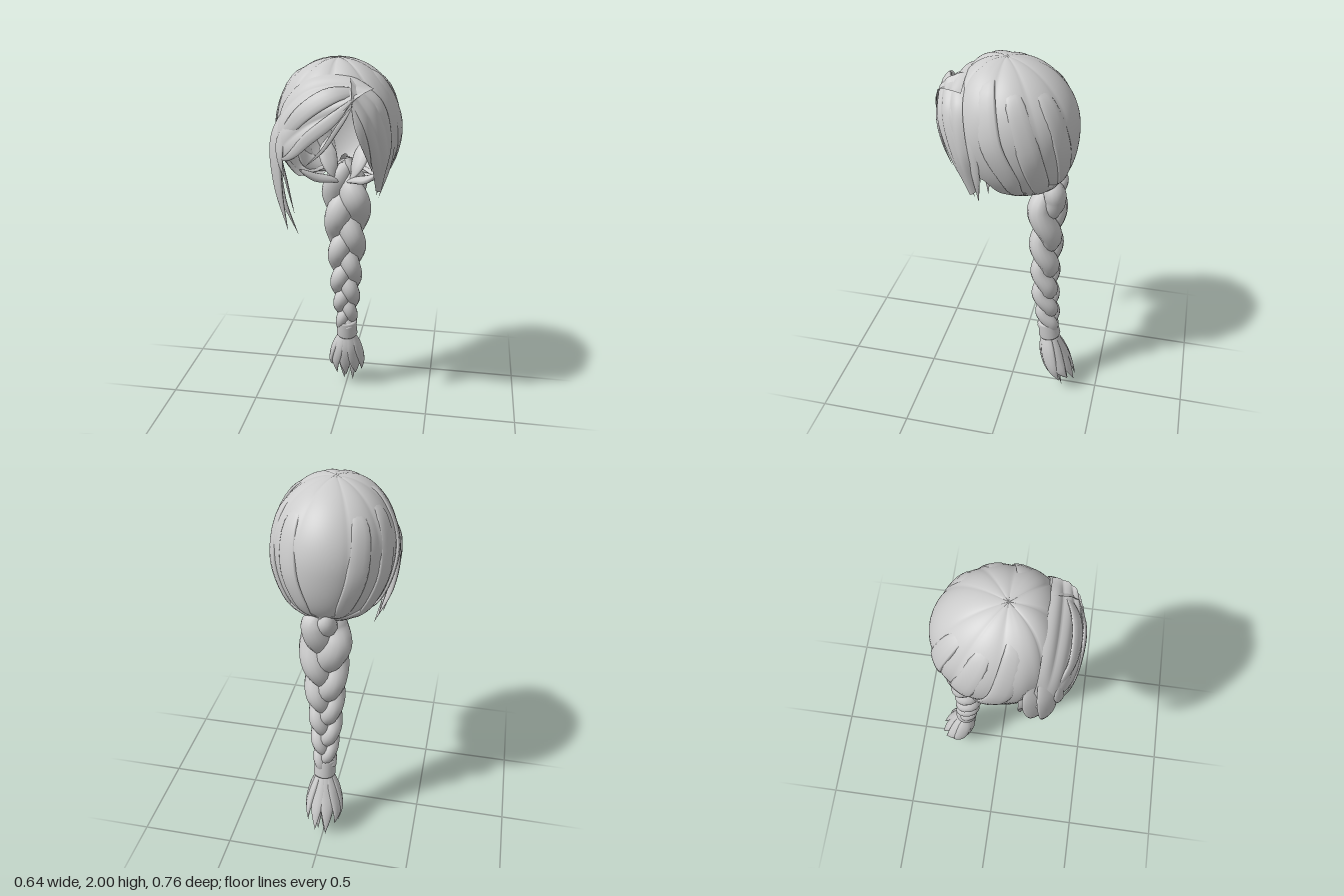
import * as THREE from 'three';

const V = (x, y, z) => new THREE.Vector3(x, y, z);
const HEAD = V(0, 1.66, 0);
const mat = new THREE.MeshStandardMaterial({ color: 0xcccccc, side: THREE.DoubleSide });
const curve = pts => new THREE.CatmullRomCurve3(pts.map(p => V(...p)));
const lerp = THREE.MathUtils.lerp;

// smoothed lookup, table = [[key, value], ...] ascending
function lookup(table, k) {
  if (k <= table[0][0]) return table[0][1];
  for (let i = 1; i < table.length; i++) {
    const [k0, v0] = table[i - 1], [k1, v1] = table[i];
    if (k <= k1) return lerp(v0, v1, THREE.MathUtils.smoothstep(k, k0, k1));
  }
  return table[table.length - 1][1];
}

// smooth grid mesh; wrap closes the second direction
function gridMesh(name, nu, nv, wrap, fn) {
  const pos = [], idx = [], row = wrap ? nv : nv + 1;
  for (let i = 0; i <= nu; i++)
    for (let j = 0; j < row; j++) pos.push(...fn(i / nu, j / nv).toArray());
  for (let i = 0; i < nu; i++)
    for (let j = 0; j < nv; j++) {
      const a = i * row + j, c = i * row + (j + 1) % row, b = a + row, d = c + row;
      idx.push(a, b, c, b, d, c);
    }
  const g = new THREE.BufferGeometry();
  g.setAttribute('position', new THREE.Float32BufferAttribute(pos, 3));
  g.setIndex(idx);
  g.computeVertexNormals();
  const m = new THREE.Mesh(g, mat);
  m.name = name;
  return m;
}

// elliptical sweep: width lies along the head surface, height points outward
function sweep(name, path, width, height, outward, nu = 24, nv = 10) {
  return gridMesh(name, nu, nv, true, (t, s) => {
    const p = path.getPoint(t), T = path.getTangent(t);
    const N = outward ? outward.clone() : p.clone().sub(HEAD);
    N.addScaledVector(T, -N.dot(T)).normalize();
    const B = T.clone().cross(N), a = s * Math.PI * 2;
    return p.addScaledVector(B, width(t) * Math.cos(a)).addScaledVector(N, height(t) * Math.sin(a));
  });
}

// pointed lock of hair, widest a third of the way along
function lock(name, pts, w, h = w * 0.3, root = 0.05, outward) {
  const shape = t => t < 0.35 ? lerp(root, 1, Math.sin(t / 0.35 * Math.PI / 2))
    : Math.max(0.01, Math.cos((t - 0.35) / 0.65 * Math.PI / 2));
  return sweep(name, curve(pts), t => w * shape(t), t => h * shape(t), outward);
}

// curved sheet between two edges, with combed grooves along its length
function sheet(name, edgeA, edgeB, bulge, strands) {
  const A = curve(edgeA), B = curve(edgeB);
  return gridMesh(name, 36, 40, false, (t, s) => {
    const p = A.getPoint(t).lerp(B.getPoint(t), s);
    const groove = Math.abs(Math.sin(s * strands * Math.PI)) * 0.01;
    const d = bulge * Math.sin(s * Math.PI) + groove * Math.sin(Math.PI * Math.min(1, t + 0.15));
    return p.addScaledVector(p.clone().sub(HEAD).normalize(), d);
  });
}

// point on the skull cap: strand angle from the front, v from crown to hem;
// strands bend back towards the nape as they descend
const hem = [[0, 1.87], [35, 1.8], [55, 1.66], [72, 1.48], [90, 1.38], [125, 1.34], [180, 1.38]];
function capPoint(a, v, lift = 0) {
  const az = a + 0.65 * v ** 3 * Math.sin(a), sx = Math.sin(az), cz = Math.cos(az);
  const deg = Math.abs(THREE.MathUtils.radToDeg(Math.atan2(sx, cz)));
  const low = Math.asin((lookup(hem, deg) - 1.66) / 0.34);
  const e = lerp(Math.PI / 2, low, v), k = 1 + lift;
  const r = k * Math.cos(e) ** (e < 0 ? 0.7 + 0.2 * Math.min(0, cz) : 1 - 0.2 * Math.max(0, cz));
  const front = cz > 0;
  const x = front ? Math.sign(sx) * Math.abs(sx) ** 0.85 : sx;
  const z = front ? 0.3 * cz ** 0.9 : 0.325 * cz;
  return V(0.302 * r * x, 1.66 + 0.337 * Math.sin(e) * k, z * r + 0.03 * (1 - v) ** 2);
}

function buildCap() {
  const g = new THREE.Group();
  g.name = 'skullCap';
  g.add(gridMesh('capHair', 36, 160, true, (v, s) => {
    const a = s * Math.PI * 2;
    const ridge = Math.abs(Math.sin(s * 9 * Math.PI + 0.5 * Math.sin(a * 3)));
    return capPoint(a, v, 0.026 * Math.sqrt(ridge) * Math.sin(Math.PI * Math.min(1, v * 0.9 + 0.05)));
  }));
  for (const s of [-1, 1]) {
    // combed locks running from the crown to the nape
    [1.2, 1.75, 2.35].forEach(a => {
      const pts = [0.15, 0.35, 0.6, 0.8, 0.92].map((v, i) => capPoint(s * (a + 0.25 * v), v, i ? 0.009 : -0.02).toArray());
      pts.push([s * 0.02, 1.4, -0.26]);
      g.add(lock('combedLock', pts, 0.055, 0.013));
    });
    // gathered hair under the ears and at the nape
    g.add(lock('napeLock', [[s * 0.24, 1.52, -0.08], [s * 0.2, 1.43, -0.14], [s * 0.11, 1.39, -0.21], [0, 1.37, -0.24]], 0.055, 0.018));
    g.add(lock('underLock', [[s * 0.2, 1.42, 0.02], [s * 0.14, 1.37, -0.04], [s * 0.06, 1.34, -0.11], [0, 1.31, -0.16]], 0.035, 0.018, 0.3));
    g.add(lock('innerLock', [[s * 0.1, 1.54, -0.22], [s * 0.09, 1.46, -0.17], [s * 0.06, 1.38, -0.14], [s * 0.02, 1.3, -0.16]], 0.05, 0.018));
  }
  return g;
}

function buildFringe() {
  const g = new THREE.Group();
  g.name = 'fringe';
  // swept side of the fringe, towards the right
  g.add(sheet('sweptFringe',
    [[0.2, 1.88, 0.195], [0.09, 1.935, 0.195], [-0.1, 1.925, 0.195], [-0.235, 1.8, 0.19], [-0.285, 1.56, 0.17]],
    [[0.12, 1.85, 0.33], [0.04, 1.75, 0.365], [-0.08, 1.66, 0.37], [-0.17, 1.59, 0.34], [-0.24, 1.54, 0.28]], 0.03, 4));
  // short side of the fringe, towards the left
  g.add(sheet('shortFringe',
    [[0.11, 1.85, 0.33], [0.155, 1.72, 0.325], [0.195, 1.55, 0.26], [0.21, 1.38, 0.17]],
    [[0.08, 1.935, 0.195], [0.23, 1.83, 0.18], [0.28, 1.63, 0.15], [0.23, 1.4, 0.12]], 0.025, 3));
  const locks = [
    // overlapping locks on the swept side
    [[[0.17, 1.88, 0.24], [0.02, 1.87, 0.32], [-0.13, 1.77, 0.33], [-0.235, 1.62, 0.27], [-0.265, 1.47, 0.25]], 0.045],
    [[[0.12, 1.86, 0.32], [0.03, 1.77, 0.365], [-0.09, 1.67, 0.365], [-0.18, 1.58, 0.34], [-0.26, 1.54, 0.28]], 0.03],
    [[[0.12, 1.83, 0.34], [0.06, 1.74, 0.36], [-0.02, 1.62, 0.355], [-0.11, 1.53, 0.33]], 0.012],
    [[[0.11, 1.84, 0.33], [0.15, 1.72, 0.33], [0.18, 1.61, 0.3], [0.2, 1.5, 0.25]], 0.022],
    [[[0.14, 1.87, 0.26], [0.215, 1.77, 0.245], [0.245, 1.6, 0.2], [0.21, 1.34, 0.14]], 0.045],
    [[[0.22, 1.82, 0.16], [0.27, 1.68, 0.14], [0.265, 1.5, 0.12], [0.22, 1.33, 0.12]], 0.035],
    // long face-framing locks on the right
    [[[-0.2, 1.82, 0.2], [-0.265, 1.63, 0.24], [-0.26, 1.4, 0.25], [-0.22, 1.17, 0.235]], 0.055],
    [[[-0.22, 1.8, 0.16], [-0.275, 1.6, 0.18], [-0.255, 1.35, 0.2], [-0.18, 1.13, 0.18]], 0.055],
    [[[-0.25, 1.72, 0.12], [-0.275, 1.55, 0.14], [-0.245, 1.38, 0.13], [-0.21, 1.21, 0.12]], 0.028],
    [[[-0.19, 1.74, 0.29], [-0.235, 1.63, 0.29], [-0.235, 1.55, 0.3], [-0.22, 1.46, 0.29]], 0.03],
  ];
  for (const [pts, w] of locks) g.add(lock('fringeLock', pts, w));
  return g;
}

// three-strand braid: each strand weaves in a figure of eight
const halfWidth = [[0.42, 0.06], [0.75, 0.088], [1.0, 0.112], [1.22, 0.138], [1.32, 0.115], [1.43, 0.035]];
const braidZ = [[0.42, -0.21], [0.75, -0.185], [1.2, -0.185], [1.43, -0.22]];
function buildBraid() {
  const g = new THREE.Group();
  g.name = 'braid';
  const n = 80, top = 1.43, bottom = 0.42;
  for (let k = 0; k < 3; k++) {
    const pts = [];
    let th = k * Math.PI * 2 / 3 + 0.4;
    for (let i = 0; i <= n; i++) {
      const y = lerp(top, bottom, i / n), w = lookup(halfWidth, y);
      pts.push([0.008 + 0.48 * w * Math.sin(th), y, lookup(braidZ, y) + (0.012 + 0.16 * w) * Math.sin(2 * th)]);
      th += Math.PI * 2 / (3 * 1.75 * Math.max(w, 0.07)) * (top - bottom) / n;
    }
    const w = t => lookup(halfWidth, lerp(top, bottom, t));
    g.add(sweep('braidStrand', curve(pts), t => 0.56 * w(t), t => 0.022 + 0.3 * w(t), V(0, 0, 1), 110, 14));
  }
  return g;
}

function buildTail() {
  const g = new THREE.Group();
  g.name = 'braidEnd';
  // hair tie with rounded rims
  const prof = [[0.045, -0.05], [0.056, -0.052], [0.061, -0.042], [0.057, 0], [0.059, 0.042], [0.054, 0.052], [0.042, 0.05]];
  const tie = new THREE.Mesh(new THREE.LatheGeometry(prof.map(p => new THREE.Vector2(...p)), 28), mat);
  tie.name = 'hairTie';
  tie.position.set(0.01, 0.41, -0.213);
  tie.rotation.x = 0.15;
  g.add(tie);
  // loose tufts: a broad outer ring around a longer inner one
  for (let i = 0; i < 12; i++) {
    const inner = i >= 9, a = (inner ? (i - 9) / 3 : i / 9) * Math.PI * 2 + 0.2;
    const r = inner ? 0.35 : 1, c = Math.cos(a) * r, s = Math.sin(a) * r;
    const end = inner ? 0.012 * (i % 3) : 0.03 + 0.05 * Math.abs(c) + 0.015 * (i % 3);
    g.add(lock('tuft', [
      [0.01 + c * 0.03, 0.38, -0.215 + s * 0.03],
      [0.006 + c * 0.07, 0.27, -0.235 + s * 0.052],
      [0.003 + c * 0.094, 0.16, -0.272 + s * 0.068],
      [0.003 + c * 0.088, end, -0.31 + s * 0.07]],
    0.042, 0.018, 0.45, inner ? V(0, 0, 1) : V(c, 0, s)));
  }
  return g;
}

export function createModel() {
  const model = new THREE.Group();
  model.name = 'braidedHair';
  model.add(buildCap(), buildFringe(), buildBraid(), buildTail());
  return model;
}
